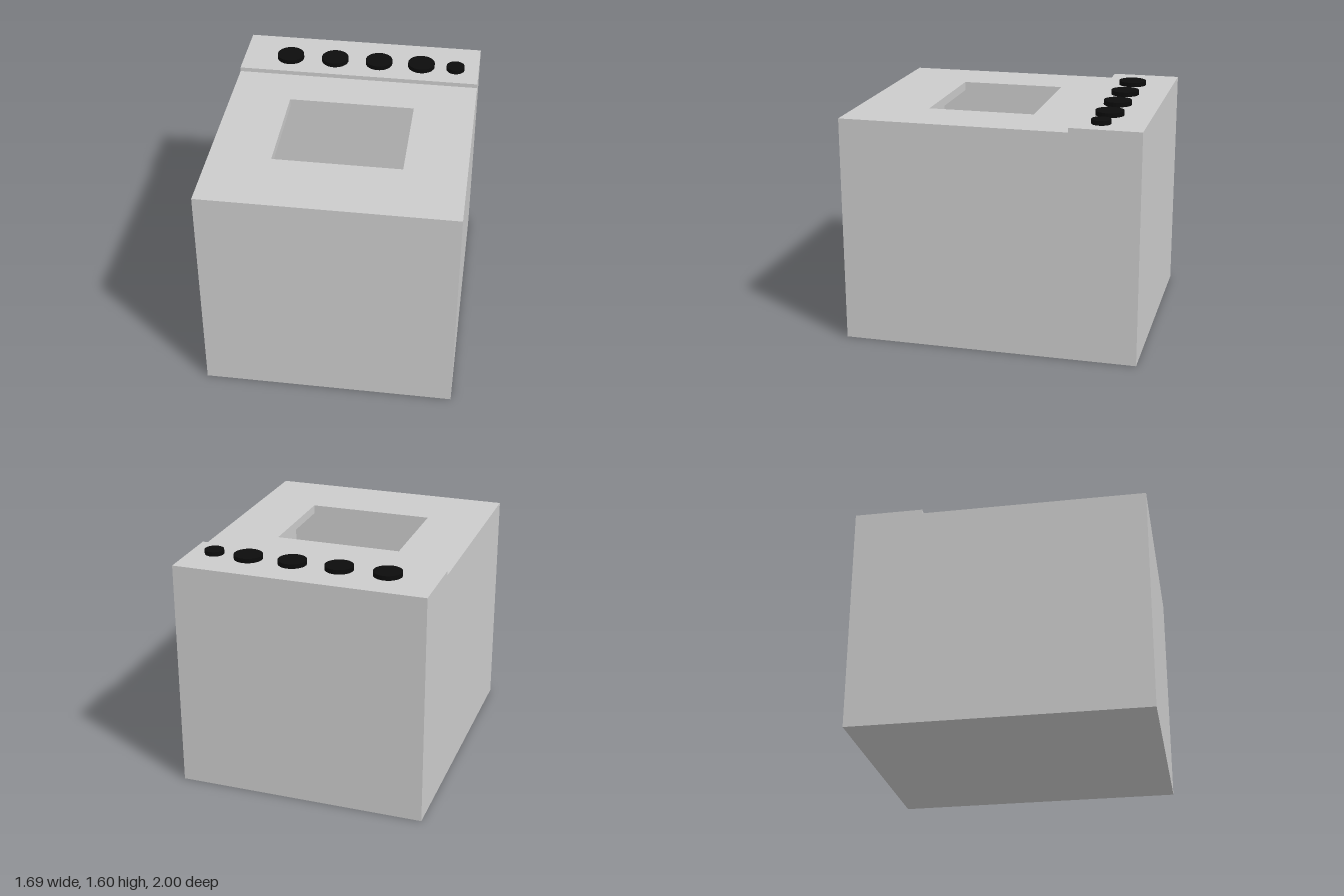
import * as THREE from 'three';
import { mergeGeometries } from 'three/addons/utils/BufferGeometryUtils.js';

const V = (x, y, z) => new THREE.Vector3(x, y, z);
// In-plane axes (u, v) for faces pointing each way
const AXES = {
  right: [V(0, 0, -1), V(0, 1, 0)],
  left: [V(0, 0, 1), V(0, 1, 0)],
  front: [V(1, 0, 0), V(0, 1, 0)],
  back: [V(-1, 0, 0), V(0, 1, 0)],
  up: [V(1, 0, 0), V(0, 0, -1)],
  down: [V(1, 0, 0), V(0, 0, 1)],
};

const toPoints = (list) => list.map(([a, b]) => new THREE.Vector2(a, b));
const rect = (a0, a1, b0, b1) => [[a0, b0], [a1, b0], [a1, b1], [a0, b1]];

// Flat face pointing in a direction, at distance d along its normal
function face(direction, d, outline, hole) {
  const [u, v] = AXES[direction];
  const n = u.clone().cross(v);
  const shape = new THREE.Shape(toPoints(outline));
  if (hole) shape.holes.push(new THREE.Path(toPoints(hole)));
  const geometry = new THREE.ShapeGeometry(shape);
  geometry.applyMatrix4(new THREE.Matrix4().makeBasis(u, v, n).setPosition(n.multiplyScalar(d)));
  return geometry;
}

// Four inward-facing walls of a rectangular well
const wellWalls = (x, z0, z1, y0, y1) => [
  face('right', -x, rect(-z1, -z0, y0, y1)),
  face('left', -x, rect(z0, z1, y0, y1)),
  face('front', z0, rect(-x, x, y0, y1)),
  face('back', -z1, rect(-x, x, y0, y1)),
];

export function createModel() {
  const group = new THREE.Group();
  const grey = new THREE.MeshStandardMaterial({ color: 0xcccccc });
  const black = new THREE.MeshStandardMaterial({ color: 0x0c0c0c });
  const add = (name, geometry, material) => {
    const mesh = new THREE.Mesh(geometry, material);
    mesh.name = name;
    group.add(mesh);
    return mesh;
  };

  const W = 0.845, top = 1.54, panelTop = 1.57, step = -0.53;
  const hole = { x: 0.43, z0: -0.21, z1: 0.51 };
  const cavity = { x: 0.67, z0: -0.44, z1: 0.75 };
  const lipBottom = 1.48, floor = 0.17;

  // Outer casing: stepped sides, raised control strip and top with opening
  const sideProfile = [[-1, 0], [1, 0], [1, panelTop], [-step, panelTop], [-step, top], [-1, top]];
  add('casing', mergeGeometries([
    face('right', W, sideProfile),
    face('left', W, sideProfile.map(([a, b]) => [-a, b])),
    face('front', 1, rect(-W, W, 0, top)),
    face('back', 1, rect(-W, W, 0, panelTop)),
    face('down', 0, rect(-W, W, -1, 1)),
    face('up', top, rect(-W, W, -1, -step), rect(-hole.x, hole.x, -hole.z1, -hole.z0)),
    face('front', step, rect(-W, W, top, panelTop)),
    face('up', panelTop, rect(-W, W, -step, 1)),
  ]), grey);

  // Rim of the opening and the wider chamber beneath it
  add('openingRim', mergeGeometries(wellWalls(hole.x, hole.z0, hole.z1, lipBottom, top)), grey);
  add('chamber', mergeGeometries([
    ...wellWalls(cavity.x, cavity.z0, cavity.z1, floor, lipBottom),
    face('up', floor, rect(-cavity.x, cavity.x, -cavity.z1, -cavity.z0)),
    face('down', -lipBottom, rect(-cavity.x, cavity.x, cavity.z0, cavity.z1),
      rect(-hole.x, hole.x, hole.z0, hole.z1)),
  ]), grey);

  // Row of control knobs, the last one smaller
  const knobs = [
    [-0.51, -0.717, 0.095], [-0.187, -0.717, 0.095], [0.13, -0.72, 0.095],
    [0.435, -0.72, 0.095], [0.68, -0.708, 0.064],
  ];
  knobs.forEach(([x, z, r], i) => {
    const knob = add(`knob${i + 1}`, new THREE.CylinderGeometry(r, r, 0.03, 48), black);
    knob.position.set(x, panelTop + 0.015, z);
  });

  return group;
}
